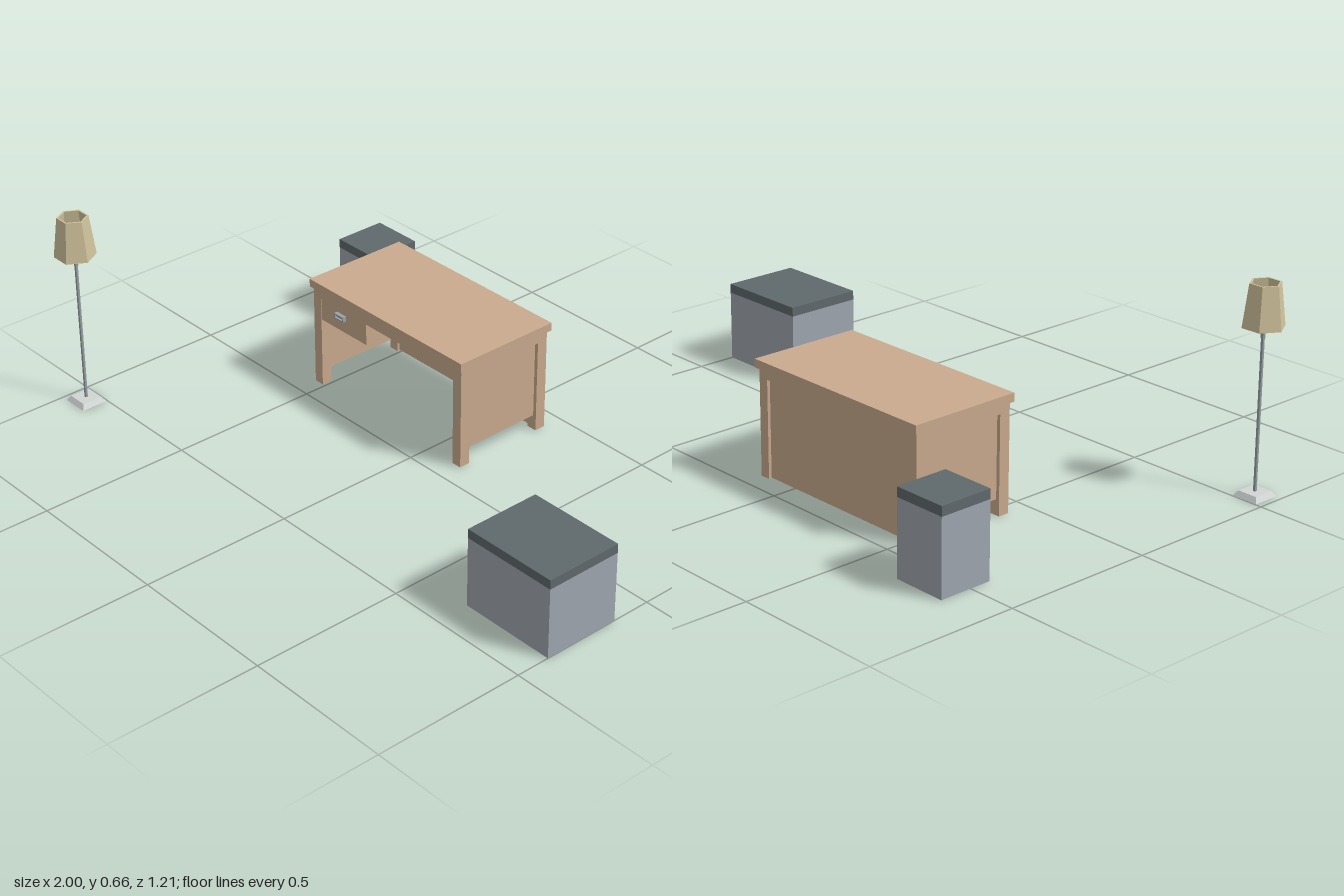
import * as THREE from 'three';

const mat = (name, color) => {
  const m = new THREE.MeshStandardMaterial({ color });
  m.name = name;
  return m;
};

export function createModel() {
  const wood = mat('wood', 0xc9aa8d);
  const greyBody = mat('greyBody', 0x9fa6ae);
  const darkLid = mat('darkLid', 0x5f696c);
  const shadeCloth = mat('shadeCloth', 0xcfc39c);
  const paleMetal = mat('paleMetal', 0xd0d5d4);
  const poleMetal = mat('poleMetal', 0x99a3a6);

  const group = (name, parent) => {
    const g = new THREE.Group();
    g.name = name;
    if (parent) parent.add(g);
    return g;
  };
  const add = (parent, name, geometry, material) => {
    const mesh = new THREE.Mesh(geometry, material);
    mesh.name = name;
    parent.add(mesh);
    return mesh;
  };
  // Box given by its limits on each axis
  const box = (parent, name, material, [x0, x1], [y0, y1], [z0, z1]) => {
    const mesh = add(parent, name, new THREE.BoxGeometry(x1 - x0, y1 - y0, z1 - z0), material);
    mesh.position.set((x0 + x1) / 2, (y0 + y1) / 2, (z0 + z1) / 2);
    return mesh;
  };
  const faceted = (geometry) => {
    const g = geometry.toNonIndexed();
    g.computeVertexNormals();
    return g;
  };

  const model = group('furnitureSet');

  // Desk: slab, four legs, rails between them, recessed panels
  const desk = group('desk', model);
  box(desk, 'deskTop', wood, [-0.555, 0.15], [0.345, 0.372], [-0.443, -0.068]);
  const legX = [[-0.545, -0.51], [0.107, 0.142]];
  const legZ = [[-0.432, -0.395], [-0.113, -0.076]];
  for (const x of legX) {
    for (const z of legZ) box(desk, 'leg', wood, x, [0, 0.345], z);
    box(desk, 'sideRail', wood, x, [0.315, 0.345], [-0.395, -0.113]);
  }
  for (const z of legZ) box(desk, 'longRail', wood, [-0.51, 0.107], [0.315, 0.345], z);
  box(desk, 'leftPanel', wood, [0.112, 0.13], [0.05, 0.315], [-0.395, -0.113]);
  box(desk, 'rightPanel', wood, [-0.533, -0.515], [0.05, 0.315], [-0.395, -0.113]);
  box(desk, 'backPanel', wood, [-0.51, 0.107], [0.002, 0.315], [-0.422, -0.404]);

  // Drawer with a framed pull
  box(desk, 'drawer', wood, [-0.51, -0.295], [0.24, 0.315], [-0.395, -0.078]);
  const pull = group('drawerPull', desk);
  box(pull, 'pullBack', poleMetal, [-0.434, -0.392], [0.283, 0.301], [-0.078, -0.072]);
  for (const y of [[0.283, 0.287], [0.297, 0.301]])
    box(pull, 'pullRim', poleMetal, [-0.434, -0.392], y, [-0.072, -0.065]);
  for (const x of [[-0.434, -0.43], [-0.396, -0.392]])
    box(pull, 'pullRim', poleMetal, x, [0.287, 0.297], [-0.072, -0.065]);

  // Lidded cabinets
  const cabinet = (name, x, z, seam, top) => {
    const g = group(name, model);
    box(g, 'cabinetBody', greyBody, x, [0, seam], z);
    box(g, 'cabinetLid', darkLid, x, [seam, top], z);
  };
  cabinet('smallCabinet', [-0.839, -0.661], [-0.607, -0.43], 0.242, 0.273);
  cabinet('largeCabinet', [0.675, 1], [0.13, 0.388], 0.23, 0.26);

  // Floor lamp
  const lamp = group('floorLamp', model);
  lamp.position.set(-0.934, 0, 0.549);

  // Square tapered foot
  const foot = add(lamp, 'lampFoot', faceted(new THREE.CylinderGeometry(
    0.034 * Math.SQRT2, 0.045 * Math.SQRT2, 0.016, 4, 1, false, Math.PI / 4)), paleMetal);
  foot.position.y = 0.008;

  // Pole, slightly thicker at the upper end
  const pole = add(lamp, 'lampPole', faceted(new THREE.CylinderGeometry(0.0055, 0.0055, 0.474, 8)), poleMetal);
  pole.position.y = 0.253;
  const socket = add(lamp, 'lampSocket', faceted(new THREE.CylinderGeometry(0.007, 0.007, 0.11, 8)), poleMetal);
  socket.position.y = 0.545;

  // Six-sided open shade with wall thickness
  const profile = [[0.066, 0.525], [0.049, 0.658], [0.043, 0.658], [0.06, 0.525], [0.066, 0.525]]
    .map(([r, y]) => new THREE.Vector2(r, y));
  add(lamp, 'lampShade', faceted(new THREE.LatheGeometry(profile, 6, Math.PI / 6)), shadeCloth);

  // Thin spokes carrying the shade
  for (let i = 0; i < 3; i++) {
    const spoke = add(lamp, 'shadeSpoke', new THREE.BoxGeometry(0.1, 0.002, 0.002), poleMetal);
    spoke.position.y = 0.597;
    spoke.rotation.y = (i * Math.PI) / 3;
  }

  return model;
}
